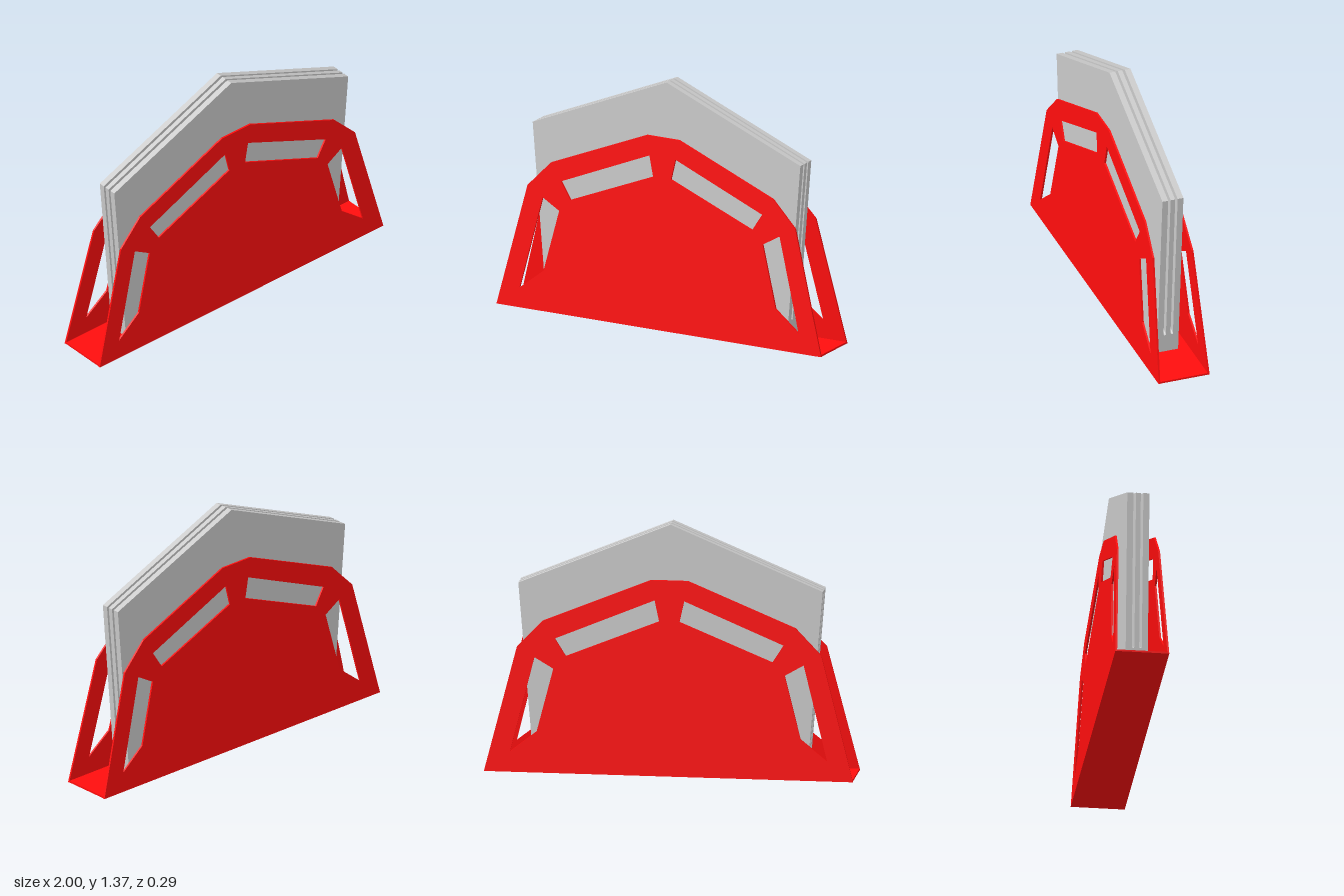
import * as THREE from 'three';

const red = new THREE.MeshStandardMaterial({ color: 0xff0d0d });
const grey = new THREE.MeshStandardMaterial({ color: 0xcccccc, flatShading: true });

const toPoints = (list, sx = 1) => list.map(([x, y]) => new THREE.Vector2(x * sx, y));

// Side panel: a faceted arch with four windows, leaning inward towards the top
function panelGeometry() {
  const half = [[1, 0], [0.825, 0.685], [0.685, 0.83], [0.1, 1.07]];
  const shape = new THREE.Shape([...toPoints(half), ...toPoints(half, -1).reverse()]);
  const windows = [
    [[0.08, 0.96], [0.62, 0.735], [0.56, 0.64], [0.055, 0.845]],
    [[0.73, 0.63], [0.627, 0.57], [0.715, 0.225], [0.86, 0.11]],
  ];
  for (const w of windows) for (const s of [1, -1]) shape.holes.push(new THREE.Path(toPoints(w, s)));
  const geo = new THREE.ExtrudeGeometry(shape, { depth: 0.01, bevelEnabled: false });
  const p = geo.attributes.position;
  for (let i = 0; i < p.count; i++) p.setZ(i, p.getZ(i) + 0.136 - 0.0425 * p.getY(i));
  geo.computeVertexNormals();
  return geo;
}

// Napkin stack: an E-shaped section with two round-bottomed slots, run along x,
// then tapered towards the bottom and raised in the middle to a gable
function napkinGeometry() {
  const bottom = 0.035, slotY = 0.14, top = 1.025, rise = 0.345;
  const slot = 0.02, r = 0.007;
  const s = new THREE.Shape();
  s.moveTo(-0.06, bottom);
  s.lineTo(0.06, bottom);
  s.lineTo(0.06, top);
  for (const c of [slot, -slot]) {
    s.lineTo(c + r, top);
    s.lineTo(c + r, slotY + r);
    s.absarc(c, slotY + r, r, 0, -Math.PI, true);
    s.lineTo(c - r, top);
  }
  s.lineTo(-0.06, top);
  s.closePath();
  const geo = new THREE.ExtrudeGeometry(s, { depth: 2, steps: 2, curveSegments: 6, bevelEnabled: false });
  geo.translate(0, 0, -1).rotateY(Math.PI / 2);
  const p = geo.attributes.position;
  for (let i = 0; i < p.count; i++) {
    const t = p.getX(i), y = p.getY(i);
    p.setX(i, t * (0.742 + 0.084 * (y - bottom)));
    if (y > bottom + 0.01) p.setY(i, y + rise * (1 - Math.abs(t)));
  }
  geo.computeVertexNormals();
  return geo;
}

export function createModel() {
  const group = new THREE.Group();
  const add = (name, geo, mat) => {
    const mesh = new THREE.Mesh(geo, mat);
    mesh.name = name;
    group.add(mesh);
    return mesh;
  };

  // Holder
  const panel = panelGeometry();
  add('frontPanel', panel, red);
  add('backPanel', panel, red).rotation.y = Math.PI;
  add('base', new THREE.BoxGeometry(1.996, 0.01, 0.28).translate(0, 0.005, 0), red);

  // Contents
  add('napkins', napkinGeometry(), grey);
  return group;
}
